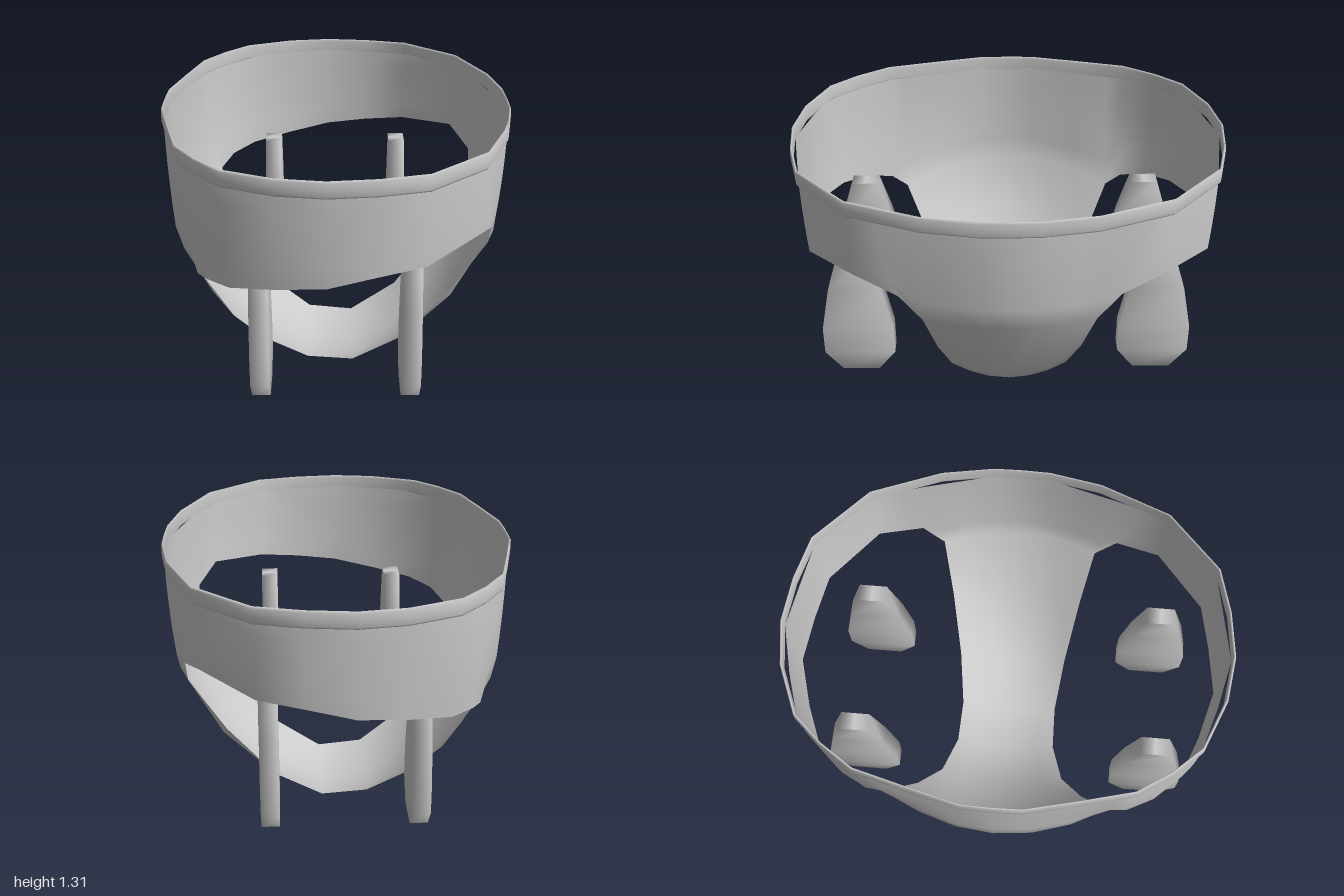
import * as THREE from 'three';
import { mergeGeometries, mergeVertices } from 'three/addons/utils/BufferGeometryUtils.js';

const material = new THREE.MeshStandardMaterial({ color: 0xcccccc, side: THREE.DoubleSide });

// Surface through rows of points: rows[i][j] = [x, y, z]
function gridSurface(rows) {
  const n = rows[0].length;
  const index = [];
  for (let i = 0; i < rows.length - 1; i++) {
    for (let j = 0; j < n - 1; j++) {
      const a = i * n + j, b = a + n;
      index.push(a, b, a + 1, b, b + 1, a + 1);
    }
  }
  const geometry = new THREE.BufferGeometry();
  geometry.setAttribute('position', new THREE.Float32BufferAttribute(rows.flat(2), 3));
  geometry.setIndex(index);
  return geometry;
}

// Weld seams and shade smoothly
function smooth(geometry) {
  const welded = mergeVertices(geometry, 1e-4);
  welded.computeVertexNormals();
  return welded;
}

// Close a half loop of points (z >= 0) by mirroring it in z; z is the last coordinate
function mirrorLoop(half) {
  const mirrored = half.slice(1, -1).reverse().map((p) => [...p.slice(0, -1), -p[p.length - 1]]);
  return [...half, ...mirrored, half[0]];
}

// Sections of the lower strip: centre x, y, then edge x, y, z
const stripSections = [
  [-0.78, 0.74, -0.60, 0.66, 0.53],
  [-0.68, 0.48, -0.48, 0.38, 0.41],
  [-0.39, 0.14, -0.35, 0.20, 0.31],
  [-0.16, 0.02, -0.14, 0.06, 0.255],
  [0.09, 0.00, 0.08, 0.04, 0.25],
  [0.34, 0.11, 0.31, 0.18, 0.28],
  [0.57, 0.32, 0.53, 0.46, 0.33],
  [0.77, 0.75, 0.69, 0.74, 0.38],
];
const acrossSteps = 3;

// Curved cross-section of the strip, t = -1..1 from edge to edge
function stripPoint([cx, cy, ex, ey, ez], t) {
  return [cx + (ex - cx) * t * t, cy + (ey - cy) * t * t, ez * t];
}

function buildStrip() {
  return gridSurface(stripSections.map((section) => {
    const row = [];
    for (let k = -acrossSteps; k <= acrossSteps; k++) row.push(stripPoint(section, k / acrossSteps));
    return row;
  }));
}

// Upper wall from the waist down to the leg openings
function buildWall() {
  const left = stripSections[stripSections.length - 1];
  const right = stripSections[0];
  const rim = [];
  for (let k = 0; k <= acrossSteps; k++) rim.push(stripPoint(left, k / acrossSteps));
  rim.push(
    [0.69, 0.87, 0.48], [0.61, 0.93, 0.68], [0.37, 0.89, 0.90], [0.17, 0.865, 0.945],
    [-0.04, 0.83, 0.98], [-0.26, 0.795, 0.92], [-0.45, 0.765, 0.845], [-0.555, 0.745, 0.73],
    [-0.61, 0.71, 0.61],
  );
  for (let k = acrossSteps; k >= 0; k--) rim.push(stripPoint(right, k / acrossSteps));

  // Waist points (x, z) above each rim point
  const waist = [
    [0.795, 0], [0.79, 0.13], [0.745, 0.3], [0.705, 0.45],
    [0.67, 0.56], [0.625, 0.68], [0.37, 0.912], [0.17, 0.948],
    [-0.04, 0.985], [-0.26, 0.932], [-0.463, 0.868], [-0.577, 0.743], [-0.675, 0.595],
    [-0.695, 0.52], [-0.74, 0.34], [-0.79, 0.13], [-0.795, 0],
  ];
  const rimLoop = mirrorLoop(rim), waistLoop = mirrorLoop(waist);

  const levels = 5;
  return gridSurface(rimLoop.map(([x, y, z], i) => {
    const [tx, tz] = waistLoop[i];
    const column = [];
    for (let k = 0; k <= levels; k++) {
      const v = k / levels, bend = v * v;
      column.push([tx + (x - tx) * bend, 1.25 + (y - 1.25) * v, tz + (z - tz) * bend]);
    }
    return column;
  }));
}

// Thin rounded band around the waist
function buildWaistband() {
  const outline = mirrorLoop([
    [0.803, 0], [0.8, 0.13], [0.757, 0.37], [0.63, 0.69], [0.376, 0.922], [0.17, 0.975], [-0.04, 0.998],
    [-0.245, 0.968], [-0.468, 0.875], [-0.583, 0.75], [-0.682, 0.6], [-0.742, 0.37], [-0.8, 0.13], [-0.803, 0],
  ]);
  const profile = [
    [0.993, 1.31], [0.999, 1.3], [1, 1.27], [0.999, 1.242], [0.993, 1.233], [0.988, 1.245], [0.988, 1.3], [0.993, 1.31],
  ];
  return smooth(gridSurface(outline.map(([x, z]) => profile.map(([s, y]) => [x * s, y, z * s]))));
}

// Flat drop-shaped tab: rectangles stacked upwards, closed at both ends
function buildTab() {
  const levels = [
    [0, 0.2], [0.088, 0.2], [0.168, 0.3], [0.168, 0.44], [0.125, 0.66], [0.066, 0.85], [0, 0.85],
  ];
  const w = 0.041;
  return smooth(gridSurface(levels.map(([d, y]) => [
    [w, y, d], [-w, y, d], [-w, y, -d], [w, y, -d], [w, y, d],
  ])));
}

export function createModel() {
  const model = new THREE.Group();
  const add = (name, geometry) => {
    const mesh = new THREE.Mesh(geometry, material);
    mesh.name = name;
    model.add(mesh);
    return mesh;
  };

  // Wall and strip share one smooth skin
  add('body', smooth(mergeGeometries([buildWall(), buildStrip()])));
  add('waistband', buildWaistband());

  // Four hanging tabs beside the leg openings
  const tab = buildTab();
  for (const [end, z] of [['front', 0.715], ['back', -0.69]]) {
    for (const [hand, x] of [['Left', 0.325], ['Right', -0.333]]) {
      add(`${end}${hand}Tab`, tab).position.set(x, 0, z);
    }
  }
  return model;
}
